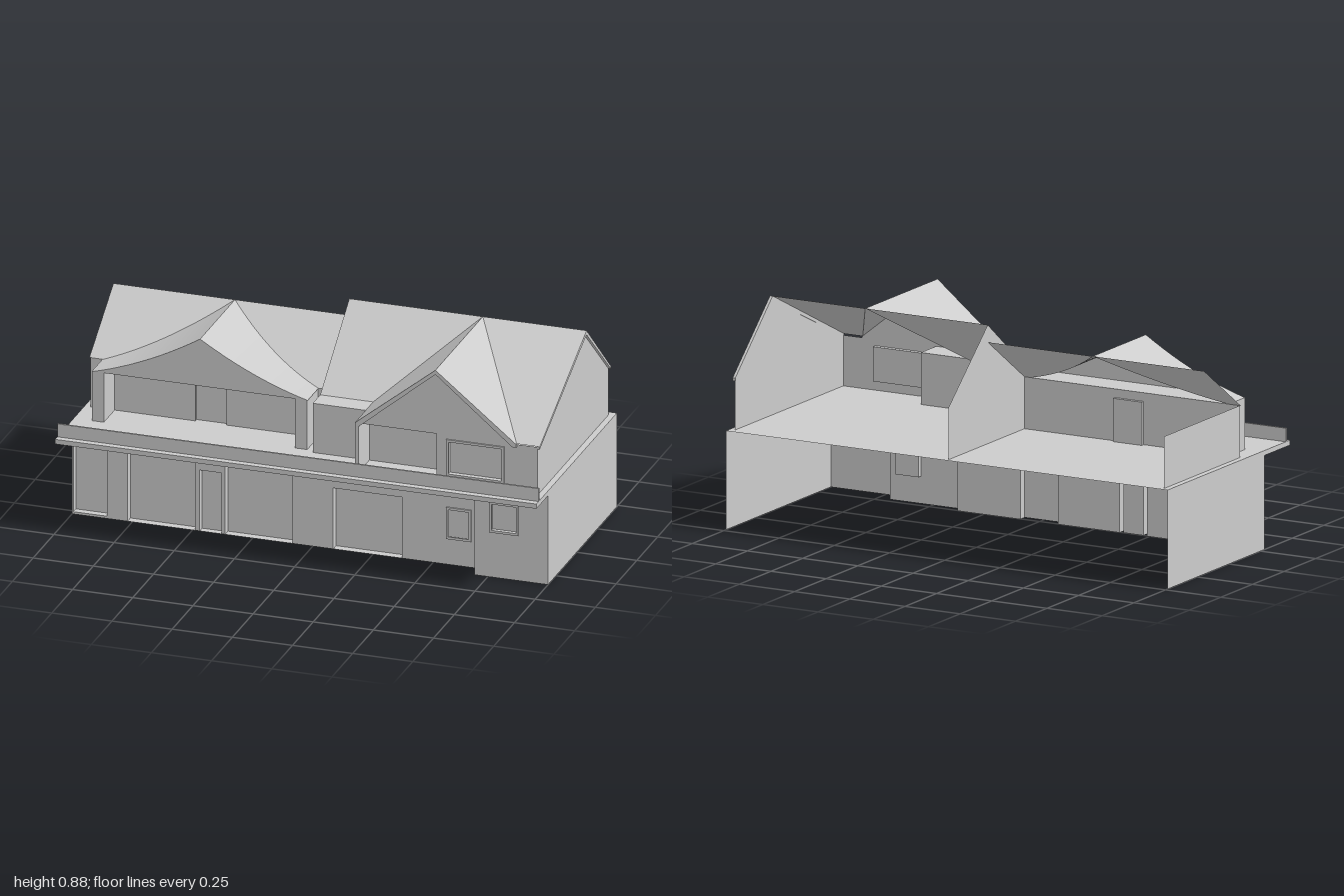
import * as THREE from 'three';

const MAT = new THREE.MeshStandardMaterial({ color: 0xcccccc, side: THREE.DoubleSide });

export function createModel() {
  const root = new THREE.Group();

  const add = (name, geo, parent = root) => {
    const mesh = new THREE.Mesh(geo, MAT);
    mesh.name = name;
    parent.add(mesh);
    return mesh;
  };

  // Box given by its limits
  const box = (name, x0, x1, y0, y1, z0, z1) =>
    add(name, new THREE.BoxGeometry(x1 - x0, y1 - y0, z1 - z0))
      .position.set((x0 + x1) / 2, (y0 + y1) / 2, (z0 + z1) / 2);

  // Thin flat-shaded surface made of convex polygons
  const sheet = (name, ...polys) => {
    const pos = [];
    for (const p of polys)
      for (let i = 1; i < p.length - 1; i++) pos.push(...p[0], ...p[i], ...p[i + 1]);
    const geo = new THREE.BufferGeometry();
    geo.setAttribute('position', new THREE.Float32BufferAttribute(pos, 3));
    geo.computeVertexNormals();
    return add(name, geo);
  };

  // Smooth surface between two rows of points
  const loft = (name, a, b) => {
    const pos = [], idx = [];
    a.forEach((p, i) => {
      pos.push(...p, ...b[i]);
      if (i) idx.push(2 * i - 2, 2 * i - 1, 2 * i, 2 * i - 1, 2 * i + 1, 2 * i);
    });
    const geo = new THREE.BufferGeometry();
    geo.setAttribute('position', new THREE.Float32BufferAttribute(pos, 3));
    geo.setIndex(idx);
    geo.computeVertexNormals();
    // keep the lit side up
    if (geo.attributes.normal.getY(0) < 0) {
      geo.setIndex(idx.reverse());
      geo.computeVertexNormals();
    }
    return add(name, geo);
  };

  const quadZ = (x0, x1, y0, y1, z) => [[x0, y0, z], [x1, y0, z], [x1, y1, z], [x0, y1, z]];
  const quadX = (x, y0, y1, z0, z1) => [[x, y0, z1], [x, y0, z0], [x, y1, z0], [x, y1, z1]];
  const quadY = (x0, x1, y, z0, z1) => [[x0, y, z1], [x1, y, z1], [x1, y, z0], [x0, y, z0]];

  // Front-facing wall with recessed openings [x0, x1, y0, y1, depth], sorted by x
  const wall = (name, x0, x1, y0, y1, z, openings = []) => {
    const faces = [];
    let x = x0;
    for (const [a, b, c, d, depth] of openings) {
      const zb = z - depth;
      if (a > x) faces.push(quadZ(x, a, y0, y1, z));
      if (c > y0) faces.push(quadZ(a, b, y0, c, z));
      if (d < y1) faces.push(quadZ(a, b, d, y1, z));
      faces.push(
        quadX(a, c, d, zb, z), quadX(b, c, d, zb, z).reverse(),
        quadY(a, b, c, zb, z), quadY(a, b, d, zb, z).reverse(),
        quadZ(a, b, c, d, zb));
      x = b;
    }
    faces.push(quadZ(x, x1, y0, y1, z));
    sheet(name, ...faces);
  };

  // Flat outline extruded along +z
  const extrude = (name, pts, depth, hole) => {
    const toV = (p) => new THREE.Vector2(...p);
    const shape = new THREE.Shape(pts.map(toV));
    if (hole) shape.holes.push(new THREE.Path(hole.map(toV)));
    return add(name, new THREE.ExtrudeGeometry(shape, { depth, bevelEnabled: false }));
  };

  const windowFrame = (name, x0, x1, y0, y1, z, t = 0.01) => {
    const r = (k) => [[x0 + k, y0 + k], [x1 - k, y0 + k], [x1 - k, y1 - k], [x0 + k, y1 - k]];
    extrude(name, r(0), 0.006, r(t)).position.z = z;
  };

  // Ground floor: side walls, shop front and projecting corner bay
  const ZF = 0.28, ZB = -0.485;
  sheet('leftSideWall', quadX(1, 0, 0.4, ZB, 0.345));
  sheet('rightSideWall', quadX(-1, 0, 0.4, ZB, ZF).reverse());
  wall('shopFrontWall', -1, 0.695, 0, 0.38, ZF, [
    [-0.995, -0.855, 0.01, 0.37, 0.03],
    [-0.77, -0.49, 0, 0.33, 0.035],
    [-0.47, -0.38, 0, 0.26, 0.03],
    [-0.365, -0.085, 0, 0.33, 0.035],
    [0.085, 0.37, 0, 0.26, 0.035],
    [0.555, 0.66, 0.11, 0.245, 0.02],
  ]);
  windowFrame('smallWindowFrame', 0.555, 0.66, 0.11, 0.245, ZF);
  sheet('bayReturnWall', quadX(0.695, 0, 0.38, ZF, 0.345).reverse());
  wall('bayFrontWall', 0.695, 1, 0, 0.38, 0.345, [[0.765, 0.87, 0.2, 0.315, 0.015]]);
  windowFrame('bayWindowFrame', 0.757, 0.878, 0.192, 0.323, 0.345);

  // Upper floor, balcony slab and parapet
  sheet('upperFloor', quadY(-1, 1, 0.4, ZB, ZF));
  box('balconySlab', -1, 1, 0.38, 0.4, ZF, 0.485);
  box('balconyParapet', -1, 1, 0.4, 0.455, 0.45, 0.458);

  // Right-hand dwelling, lower storey of its porch
  const E = 0.61, RZ = -0.16, LY = 0.81, LX = -0.475, LZ = 0.13, PZ = 0.26;
  sheet('porchDwellingEndWall', quadX(-0.975, 0.4, E, -0.47, LZ).reverse());
  wall('porchBackWall', -0.975, 0, 0.4, E, LZ, [[-0.54, -0.41, 0.4, 0.575, 0.015]]);
  for (const x of [-0.925, -0.08]) box('porchPier', x, x + 0.05, 0.4, E, LZ, PZ);
  sheet('porchCeiling', quadY(-0.925, -0.03, E, LZ, PZ).reverse());

  // Swept porch roof, mirrored about its ridge, with the main slope cut along the valley
  const N = 12, HALF = 0.447;
  for (const s of [-1, 1]) {
    const ridge = [], valley = [], front = [], base = [];
    for (let i = 0; i <= N; i++) {
      const t = i / N, fall = 1.4 * t - 0.4 * t * t;
      const x = LX + s * HALF * t, y = LY - (LY - E) * fall;
      ridge.push([x, LY, RZ]);
      valley.push([x, y, RZ + (LZ - RZ) * fall]);
      front.push([x, y, PZ]);
      base.push([x, E, PZ]);
    }
    loft('mainRoofSlope', ridge, valley);
    loft('porchRoof', valley, front);
    const gable = [];
    for (let i = 0; i < N; i++) {
      const q = [base[i], base[i + 1], front[i + 1], front[i]];
      gable.push(s > 0 ? q : q.reverse());
    }
    sheet('porchGable', ...gable);
    const xe = LX + s * HALF, xo = s < 0 ? -0.98 : 0;
    const end = [[xe, E, LZ], [xo, E, LZ], [xo, LY, RZ], [xe, LY, RZ]];
    sheet('mainRoofEnd', s > 0 ? end : end.reverse());
  }

  // Left-hand dwelling walls
  const RY = 0.88, GX = 0.555, GZ = 0.4;
  sheet('partyWall',
    [[0, 0.4, -0.47], [0, 0.4, RZ], [0, RY, RZ], [0, E, -0.47]].reverse(),
    [[0, 0.4, RZ], [0, 0.4, 0.19], [0, E, 0.19], [0, RY, RZ]].reverse(),
    quadX(0, 0.4, E, 0.19, 0.28).reverse());
  wall('recessedUpperWall', 0, GX, 0.4, E, 0.28);
  sheet('flatCanopy', quadY(0, 0.22, E, 0.19, 0.28));
  sheet('recessReturnWall', quadX(GX, 0.4, E, 0.28, GZ).reverse());
  sheet('recessCeiling', quadY(0.22, GX, E, 0.28, GZ).reverse());
  box('recessScreenWall', 0.22, 0.235, 0.4, E, 0.28, 0.41);
  wall('gableFrontWall', GX, 0.975, 0.4, 0.605, GZ, [[0.605, 0.83, 0.44, 0.58, 0.02]]);
  windowFrame('gableWindowFrame', 0.597, 0.838, 0.432, 0.588, GZ);
  sheet('frontGable', [[0.225, 0.605, GZ], [0.885, 0.605, GZ], [GX, 0.87, GZ]]);
  sheet('endGableWall', [[0.975, 0.4, GZ], [0.975, 0.4, -0.455], [0.975, 0.6, -0.455],
    [0.975, 0.87, RZ], [0.975, 0.605, GZ]]);

  // Left-hand dwelling roof: two main slopes meeting the front gable in valleys
  const top = [GX, RY, RZ], tip = [GX, RY, 0.412], vl = [0.22, E, 0.19], vr = [0.89, E, 0.405];
  sheet('steepRoofSlope', [[0, E, 0.19], vl, top, [0, RY, RZ]]);
  sheet('longRoofSlope', [vr, [0.985, E, 0.405], [0.985, RY, RZ], top]);
  sheet('frontGableRoof', [vl, [0.22, E, 0.412], tip, top], [top, tip, [0.89, E, 0.412], vr]);

  // Barge boards on the front gable and on the end wall
  extrude('frontBargeBoard', [[0.22, E], [0.22, E - 0.014], [0.236, E - 0.014], [GX, RY - 0.018],
    [0.874, E - 0.014], [0.89, E - 0.014], [0.89, E], [GX, RY]], 0.012).position.z = GZ;
  const endBoard = extrude('endBargeBoard', [[-0.405, E], [-0.405, 0.598], [0.16, RY - 0.018],
    [0.455, 0.598], [0.455, E], [0.16, RY]], 0.012);
  endBoard.rotation.y = Math.PI / 2;
  endBoard.position.x = 0.974;

  return root;
}
